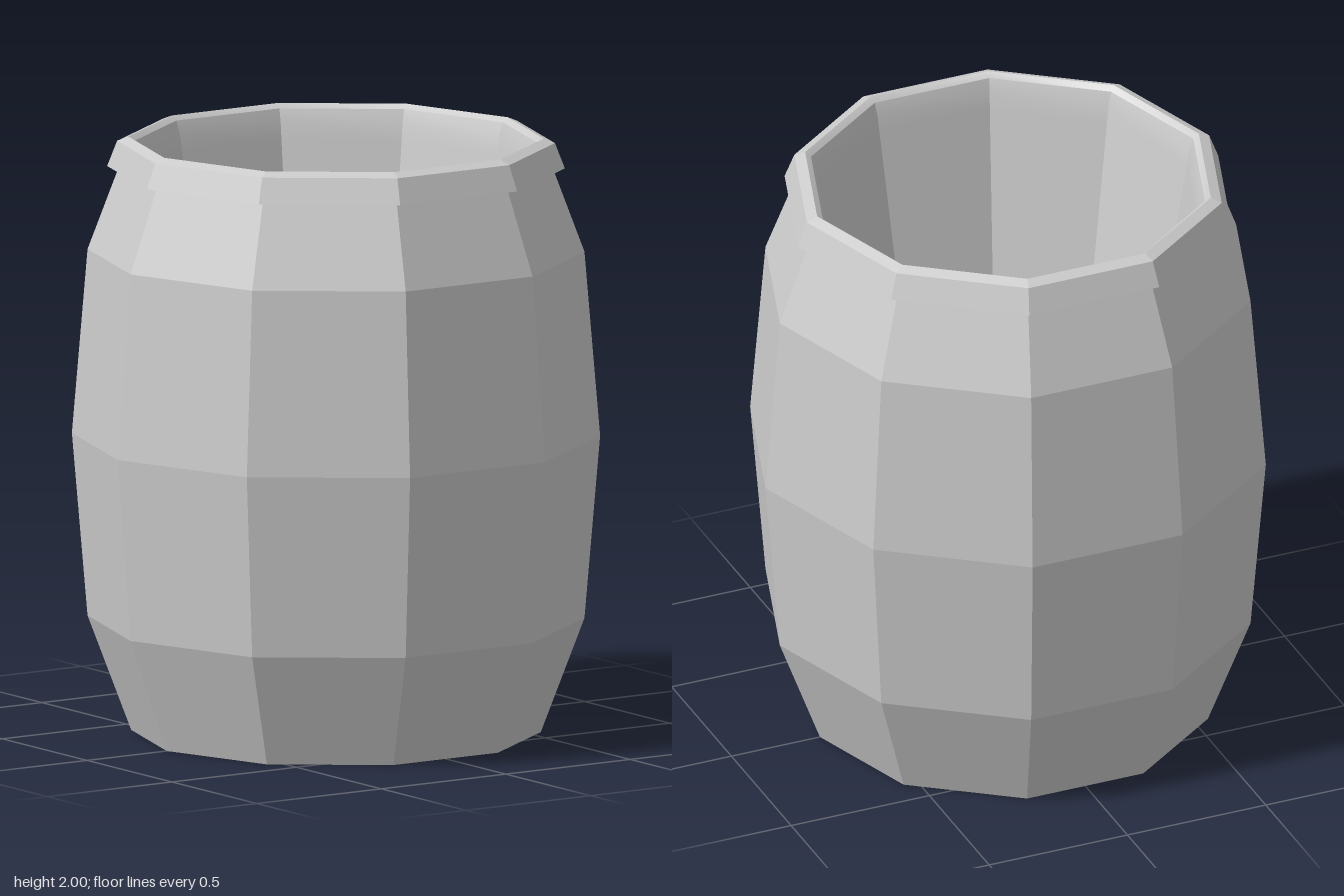
import * as THREE from 'three';
import { toCreasedNormals } from 'three/addons/utils/BufferGeometryUtils.js';

const SIDES = 10;

// Revolve an [r, y] profile into a ten-sided ring with corners on the x axis
function ring(name, profile, crease) {
  const points = profile.map(([r, y]) => new THREE.Vector2(r, y));
  const lathe = new THREE.LatheGeometry(points, SIDES, Math.PI / 2);
  const mesh = new THREE.Mesh(
    toCreasedNormals(lathe, crease),
    new THREE.MeshStandardMaterial({ color: 0xcccccc, side: THREE.DoubleSide })
  );
  mesh.name = name;
  return mesh;
}

export function createModel() {
  const group = new THREE.Group();
  group.name = 'barrel';

  // Bulging staves with a flat base
  group.add(ring('barrelBody', [
    [0, 0], [0.68, 0], [0.825, 0.385], [0.877, 1], [0.825, 1.62], [0.72, 1.9],
  ], 0.05));

  // Overhanging collar around the mouth
  group.add(ring('collar', [
    [0.72, 1.9], [0.76, 1.9], [0.727, 1.985], [0.69, 2],
  ], 0.05));

  // Rounded lip running into the tapering inner wall
  group.add(ring('innerWall', [
    [0.35, 0.15], [0.645, 1.88], [0.655, 1.94], [0.67, 1.985], [0.69, 2],
  ].reverse(), 0.55));

  // Slightly dished inside floor
  group.add(ring('innerFloor', [[0.35, 0.15], [0, 0.08]], 0.5));

  return group;
}
